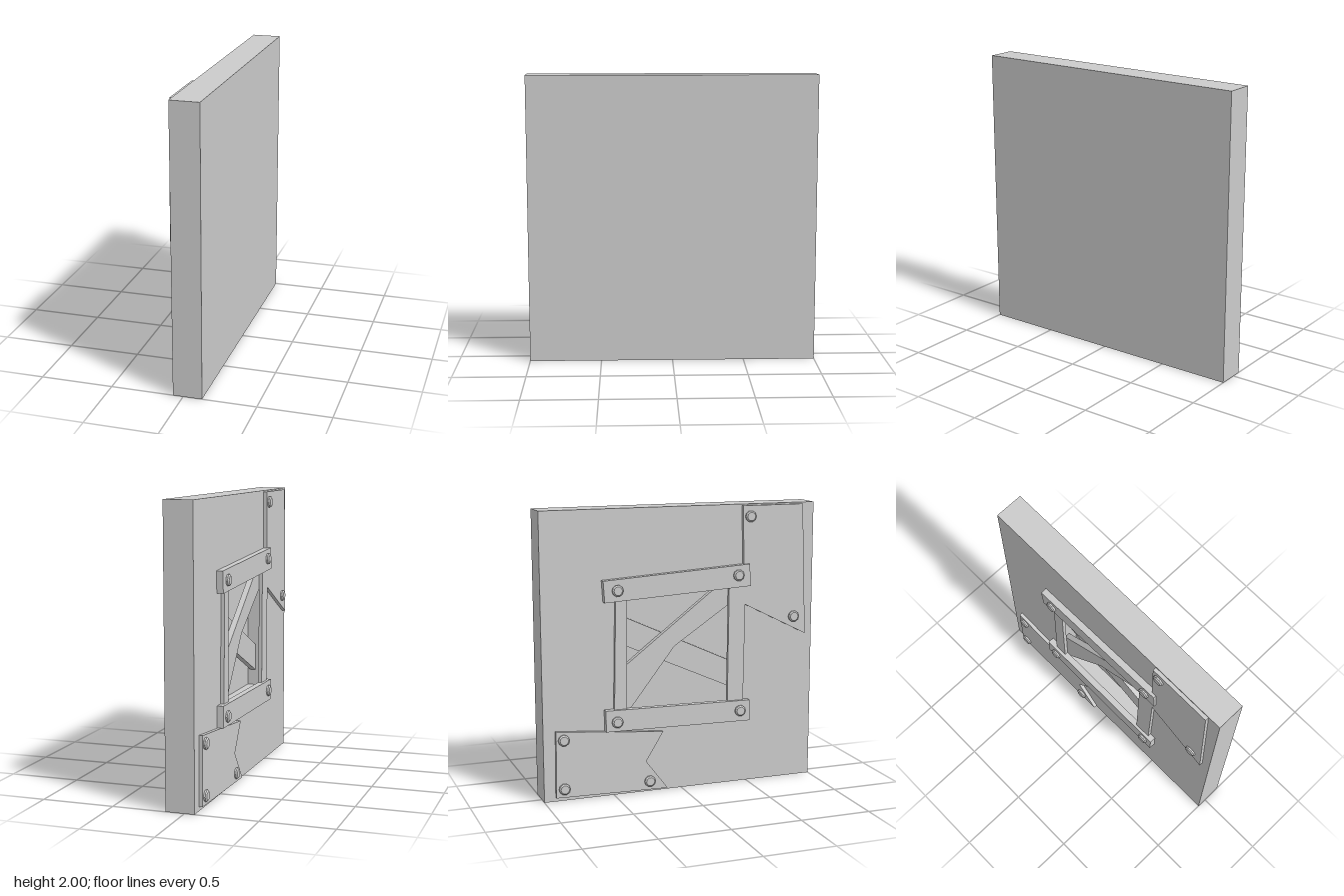
import * as THREE from 'three';

const material = new THREE.MeshStandardMaterial({ color: 0xcccccc, flatShading: true });

const FACE = -0.07; // x of the decorated wall face
const opening = [[-0.42, 0.58], [0.4, 0.58], [0.4, 1.45], [-0.42, 1.45]];

const toPoints = (corners) => corners.map(([z, y]) => new THREE.Vector2(z, y));

// Flat piece outlined in (z, y), reaching from xBack outwards to xFront (towards -x)
function slab(name, corners, xBack, xFront, hole) {
  const shape = new THREE.Shape(toPoints(corners));
  if (hole) shape.holes.push(new THREE.Path(toPoints(hole)));
  const geometry = new THREE.ExtrudeGeometry(shape, { depth: xBack - xFront, bevelEnabled: false });
  geometry.rotateY(-Math.PI / 2);
  geometry.translate(xBack, 0, 0);
  const mesh = new THREE.Mesh(geometry, material);
  mesh.name = name;
  return mesh;
}

// Low bolt head with a chamfered rim
function bolt(z, y, x) {
  const profile = [[0.04, 0], [0.04, 0.012], [0.03, 0.02], [0, 0.02]];
  const geometry = new THREE.LatheGeometry(profile.map(([r, h]) => new THREE.Vector2(r, h)), 10);
  geometry.rotateZ(Math.PI / 2);
  const mesh = new THREE.Mesh(geometry, material);
  mesh.position.set(x, y, z);
  mesh.name = 'bolt';
  return mesh;
}

export function createModel() {
  const model = new THREE.Group();
  model.name = 'boardedWall';

  // Wall block with a shallow window recess
  const square = [[-1, 0], [1, 0], [1, 2], [-1, 2]];
  model.add(slab('wall', square, 0.13, FACE, opening));
  model.add(slab('recessBack', opening, 0.13, 0.03));

  // Crossed boards inside the recess
  model.add(slab('crossBoard', [[-0.42, 1.06], [0.4, 0.69], [0.4, 0.88], [-0.42, 1.26]], 0.01, -0.03));
  model.add(slab('diagonalBoard', [
    [-0.42, 0.58], [-0.36, 0.63], [-0.05, 1.03], [0.4, 1.33], [0.4, 1.45], [0.29, 1.45], [-0.42, 0.91],
  ], -0.03, FACE));

  // Window frame: uprights, then the thicker rails over them
  model.add(slab('frameUpright', [[-0.5, 0.5], [-0.41, 0.5], [-0.4, 1.5], [-0.48, 1.5]], FACE, -0.095));
  model.add(slab('frameUpright', [[0.34, 0.5], [0.46, 0.5], [0.475, 1.5], [0.35, 1.5]], FACE, -0.095));
  model.add(slab('frameTopRail', [[-0.565, 1.37], [0.505, 1.43], [0.495, 1.585], [-0.575, 1.52]], FACE, -0.115));
  model.add(slab('frameBottomRail', [[-0.565, 0.47], [0.505, 0.457], [0.505, 0.607], [-0.565, 0.62]], FACE, -0.115));

  // Patch plates with broken edges
  model.add(slab('upperPlate', [[0.465, 1.3], [0.94, 1.06], [0.905, 1.99], [0.45, 1.99]], FACE, -0.095));
  model.add(slab('lowerPlate', [
    [-0.92, 0.03], [-0.11, 0.015], [-0.27, 0.226], [-0.143, 0.43], [-0.915, 0.5],
  ], FACE, -0.095));

  // Bolts on the rails and on the plates
  for (const [z, y] of [[0.41, 1.51], [-0.475, 1.45], [0.43, 0.535], [-0.485, 0.535]]) {
    model.add(bolt(z, y, -0.115));
  }
  for (const [z, y] of [[0.505, 1.915], [0.845, 1.19], [-0.863, 0.437], [-0.863, 0.09], [-0.244, 0.08]]) {
    model.add(bolt(z, y, -0.095));
  }
  return model;
}
